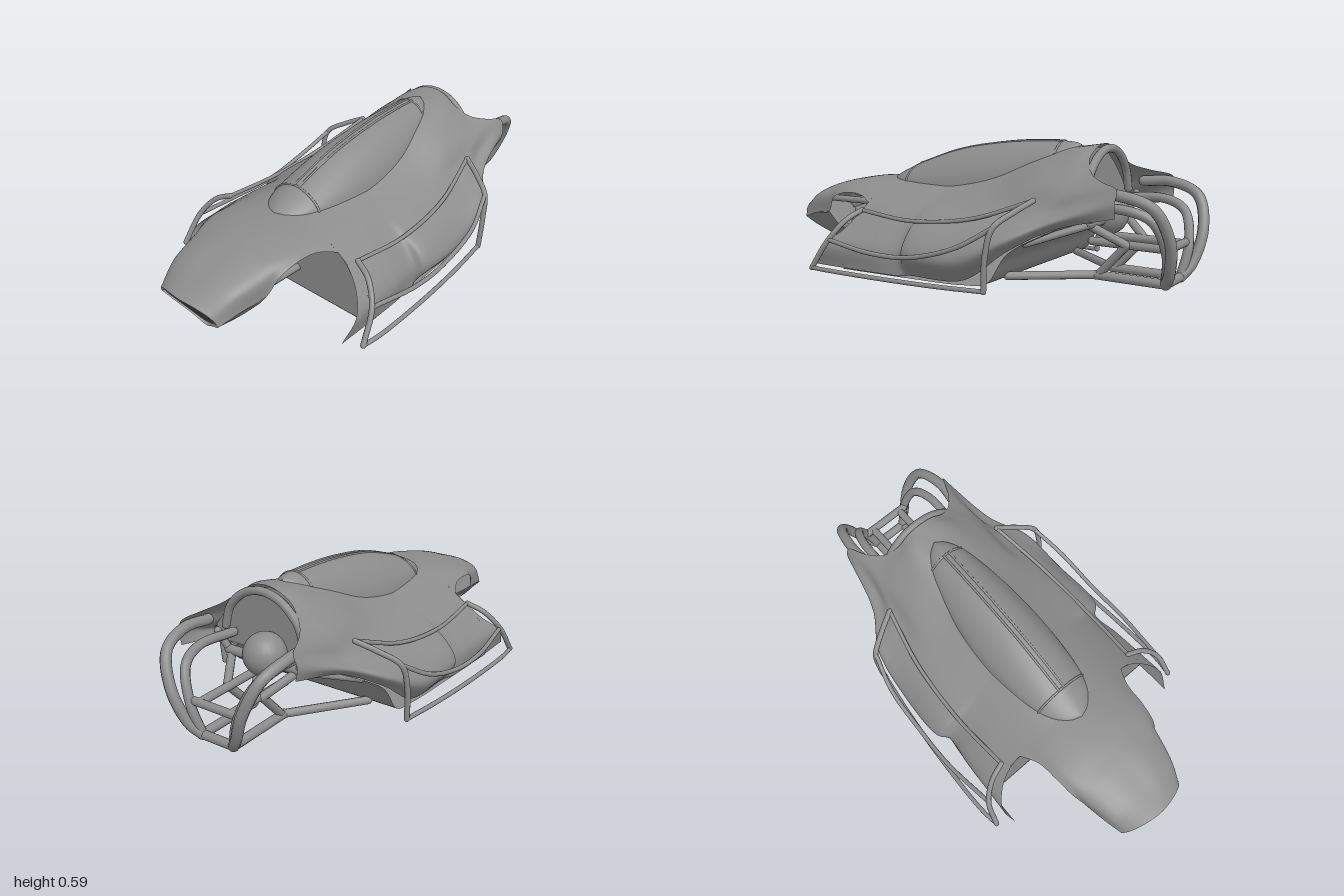
import * as THREE from 'three';

const mat = new THREE.MeshStandardMaterial({ color: 0x8c8c8c, side: THREE.DoubleSide });
const V = (p) => new THREE.Vector3(...p);
const V2 = ([x, y]) => new THREE.Vector2(x, y);
const flip = ([x, y, z]) => [-x, y, z];
const spline = (pts) => new THREE.CatmullRomCurve3(pts);

export function createModel() {
  const model = new THREE.Group();

  const add = (name, geometry) => {
    const mesh = new THREE.Mesh(geometry, mat);
    mesh.name = name;
    model.add(mesh);
    return mesh;
  };

  // Smooth skin through rows of control points; half rows start on the centre line and are mirrored.
  const skin = (name, halfRows, nu = 48, nv = 48) => {
    const rows = halfRows.map((r) => [...r.slice(1).reverse().map(flip), ...r].map(V));
    const columns = rows[0].map((_, i) => spline(rows.map((r) => r[i])));
    const pos = [], index = [];
    for (let i = 0; i <= nu; i++) {
      const section = spline(columns.map((c) => c.getPoint(i / nu)));
      for (let j = 0; j <= nv; j++) {
        pos.push(...section.getPoint(j / nv).toArray());
        if (i < nu && j < nv) {
          const a = i * (nv + 1) + j, b = a + nv + 1;
          index.push(a, b, a + 1, b, b + 1, a + 1);
        }
      }
    }
    const g = new THREE.BufferGeometry();
    g.setAttribute('position', new THREE.Float32BufferAttribute(pos, 3));
    g.setIndex(index);
    g.computeVertexNormals();
    add(name, g);
  };

  // Round bar with ball ends
  const bar = (name, pts, r) => {
    add(name, new THREE.TubeGeometry(spline(pts.map(V)), pts.length * 9, r, 10));
    for (const p of [pts[0], pts[pts.length - 1]]) {
      add(name + 'End', new THREE.SphereGeometry(r, 10, 8)).position.set(...p);
    }
  };
  const bars = (name, pts, r) => {
    bar(name + 'Left', pts, r);
    bar(name + 'Right', pts.map(flip), r);
  };

  // Flat wall across the body, from half an outline
  const wall = (name, half, z) => {
    const pts = [...half, ...half.slice().reverse().map(([x, y]) => [-x, y])];
    add(name, new THREE.ShapeGeometry(new THREE.Shape(pts.map(V2)))).position.z = z;
  };

  // Main body shell, front to back, with a step out at the side intake
  const at = (z, pts) => pts.map(([x, y]) => [x, y, z]);
  const frontRows = [
    [[0, .385, .42], [.1, .378, .42], [.18, .36, .42], [.27, .315, .42], [.35, .26, .42],
      [.43, .188, .45], [.495, .115, .52], [.48, .02, .59]],
    at(.25, [[0, .405], [.1, .395], [.18, .362], [.265, .318], [.355, .258], [.425, .19], [.475, .115], [.47, .02]]),
    at(.11, [[0, .43], [.1, .415], [.178, .368], [.265, .318], [.365, .25], [.42, .19], [.46, .115], [.455, .02]]),
  ];
  const rearRows = [
    at(.07, [[0, .435], [.1, .42], [.178, .37], [.265, .32], [.38, .255], [.46, .195], [.498, .12], [.445, .025]]),
    at(-.2, [[0, .5], [.1, .475], [.18, .415], [.26, .355], [.355, .287], [.44, .22], [.495, .13], [.435, .04]]),
    at(-.4, [[0, .555], [.1, .528], [.19, .47], [.262, .405], [.305, .338], [.39, .275], [.46, .222], [.415, .18]]),
    at(-.55, [[0, .578], [.09, .567], [.178, .5], [.25, .437], [.287, .39], [.31, .335], [.362, .295], [.325, .265]]),
    [[0, .588, -.61], [.07, .574, -.61], [.13, .535, -.61], [.195, .485, -.65], [.245, .46, -.72],
      [.28, .438, -.8], [.298, .385, -.8], [.288, .33, -.8]],
  ];
  skin('bodyShell', [...frontRows, ...rearRows], 84, 72);

  // Underside: flat floor that sweeps up at the back
  const floorRow = (z, x, y) => at(z, [[0, y], [x / 2, y], [x, y]]);
  skin('floor', [floorRow(.42, .475, .015), floorRow(.1, .455, .015), floorRow(-.2, .435, .02),
    floorRow(-.31, .43, .04), floorRow(-.4, .415, .17), floorRow(-.58, .31, .28)], 40, 12);
  wall('frontBulkhead', [[0, .38], [.1, .375], [.18, .357], [.23, .338], [.27, .316], [.31, .29], [.35, .262],
    [.39, .226], [.43, .188], [.47, .148], [.488, .115], [.477, .015]], .418);
  wall('rearBulkhead', [[0, .57], [.08, .555], [.17, .487], [.24, .42], [.3, .345], [.3, .28]], -.58);

  // Nose cowl, open over the wheels
  const noseSide = [[.175, .16, .95], [.2, .19, .86], [.222, .21, .745]];
  const rim = [[0, .237, 1], [.09, .228, .988], [.15, .2, .968], noseSide[0]];
  skin('noseCowl', [
    rim,
    [[0, .3, .88], [.1, .295, .88], [.185, .262, .87], noseSide[1]],
    [[0, .345, .75], [.12, .337, .75], [.215, .295, .745], noseSide[2]],
    [[0, .361, .68], [.12, .352, .68], [.218, .325, .68], [.247, .285, .69]],
    [[0, .374, .6], [.12, .366, .6], [.22, .341, .6], [.258, .317, .6]],
    [[0, .382, .5], [.12, .373, .5], [.22, .346, .5], [.268, .315, .5]],
    [[0, .387, .41], [.12, .375, .41], [.22, .343, .41], [.31, .29, .41]],
  ]);
  // Chin below the nose
  const chin = [
    [[0, .035, .88], [.06, .068, .895], [.13, .118, .925], noseSide[0]],
    [[0, .05, .79], [.07, .072, .8], [.15, .125, .83], noseSide[1]],
    [[0, .07, .7], [.08, .085, .715], [.16, .135, .735], noseSide[2]],
  ];
  skin('chin', chin, 20, 32);

  // Mouth lip leading back to the grille
  const inset = (row) => row.map(([x, y, z]) => [x * .9, .14 + (y - .14) * .8, z - .03]);
  skin('mouthLipTop', [rim, inset(rim)], 4, 32);
  skin('mouthLipBottom', [chin[0], inset(chin[0])], 4, 32);

  // Grille: wide hexagon openings in a leaning plate with a closed back
  const half = [[0, .219], [.08, .212], [.135, .188], [.16, .156], [.118, .122], [.055, .08], [0, .053]];
  const edge = [...half, ...half.slice(1, -1).reverse().map(flip)];
  const inside = (x, y) => edge.reduce((hit, [ax, ay], i) => {
    const [bx, by] = edge[(i + 1) % edge.length];
    return (ay > y) !== (by > y) && x < (bx - ax) * (y - ay) / (by - ay) + ax ? !hit : hit;
  }, false);
  const lean = (geometry, z) => {
    const p = geometry.attributes.position;
    for (let i = 0; i < p.count; i++) p.setZ(i, p.getZ(i) + z + p.getY(i) * .6);
    geometry.computeVertexNormals();
    return geometry;
  };
  const plate = new THREE.Shape(edge.map(V2));
  add('grilleBack', lean(new THREE.ShapeGeometry(plate), .828));
  for (let row = 0; row < 14; row++) {
    for (let col = -6; col <= 6; col++) {
      const cx = (col + (row % 2) / 2) * .032, cy = .06 + row * .0125;
      const hex = [[-.013, -.003], [0, -.0072], [.013, -.003], [.013, .003], [0, .0072], [-.013, .003]]
        .map(([x, y]) => [cx + x, cy + y]);
      if (hex.every(([x, y]) => inside(x * 1.03, y))) plate.holes.push(new THREE.Path(hex.map(V2)));
    }
  }
  add('grille', lean(new THREE.ExtrudeGeometry(plate, { depth: .012, bevelEnabled: false }), .835));

  // Canopy stations: z, half width, base height, crown height
  const canopy = [[.478, .005, .375, .386], [.462, .055, .37, .396], [.42, .102, .362, .417], [.34, .14, .36, .452],
    [.1, .172, .365, .532], [-.15, .165, .4, .575], [-.32, .13, .465, .588], [-.42, .095, .515, .59],
    [-.48, .055, .54, .586], [-.505, .005, .56, .579]]
    .map(([z, w, b, t]) => at(z, [[0, t], [w * .5, t - (t - b) * .2], [w * .86, t - (t - b) * .62], [w, b - .01]]));
  skin('canopy', canopy, 64, 40);
  bars('canopySpine', canopy.slice(3, 8).map(([[, y, z]]) => [.014, y - .001, z]), .005);
  bars('canopyFrontFrame', canopy[3], .005);
  bars('canopyRearFrame', canopy[7].slice(0, 3), .005);

  // Side guard rails
  const frontTop = [.385, .27, .385], rearTop = [.32, .375, -.46], rearBend = [.485, .28, -.375];
  const frontFoot = [.55, .02, .54], rearFoot = [.495, .025, -.34], frontBend = [.525, .15, .46];
  bars('frontGuardPost', [frontTop, [.46, .235, .41], frontBend, frontFoot], .012);
  bars('rearGuardPost', [rearTop, [.405, .335, -.42], rearBend, [.5, .17, -.35], rearFoot], .012);
  bars('upperGuardRail', [frontTop, [.395, .25, .1], [.375, .285, -.2], rearTop], .009);
  bars('middleGuardRail', [frontBend, [.55, .125, .2], [.545, .13, 0], [.53, .19, -.22], rearBend], .01);
  bars('lowerGuardRail', [frontFoot, [.56, .022, .45], [.55, .022, .15], [.525, .022, -.12], rearFoot], .01);

  // Front suspension bars reaching into the nose
  bars('upperFrontBar', [[.1, .26, .4], [.1, .255, .85]], .016);
  bars('lowerFrontBar', [[.07, .11, .4], [.07, .11, .78]], .016);

  // Rear cage
  bars('outerHoop', [[.25, .41, -.68], [.26, .415, -.8], [.235, .37, -.93], [.18, .24, -.977], [.12, .1, -.955], [.08, .05, -.925]], .023);
  bars('innerHoop', [[.19, .34, -.6], [.195, .35, -.8], [.17, .31, -.9], [.12, .18, -.94], [.08, .05, -.925]], .02);
  bars('bottomRail', [[.08, .05, -.925], [.08, .05, -.62]], .02);
  bars('spreadRail', [[.08, .05, -.62], [.3, .05, -.33]], .018);
  bars('middleRail', [[.08, .19, -.93], [.08, .19, -.6]], .018);
  bars('upperStrut', [[.18, .28, -.62], [.09, .19, -.76]], .018);
  bars('lowerStrut', [[.09, .19, -.76], [.08, .06, -.64]], .018);
  bars('rearBrace', [[.18, .28, -.64], [.22, .36, -.66]], .016);
  bars('sideBrace', [[.18, .275, -.64], [.33, .2, -.43]], .016);
  bar('upperCrossbar', [[-.18, .28, -.64], [.18, .28, -.64]], .021);
  bar('lowerCrossbar', [[-.08, .05, -.925], [.08, .05, -.925]], .02);
  bar('middleCrossbar', [[-.11, .19, -.93], [.11, .19, -.93]], .018);
  bar('rearArch', [[-.2, .38, -.63], [-.17, .47, -.63], [-.09, .545, -.63], [0, .568, -.63],
    [.09, .545, -.63], [.17, .47, -.63], [.2, .38, -.63]], .018);

  // Rear engine dome
  add('engineDome', new THREE.SphereGeometry(.092, 28, 20)).position.set(0, .3, -.628);

  return model;
}
